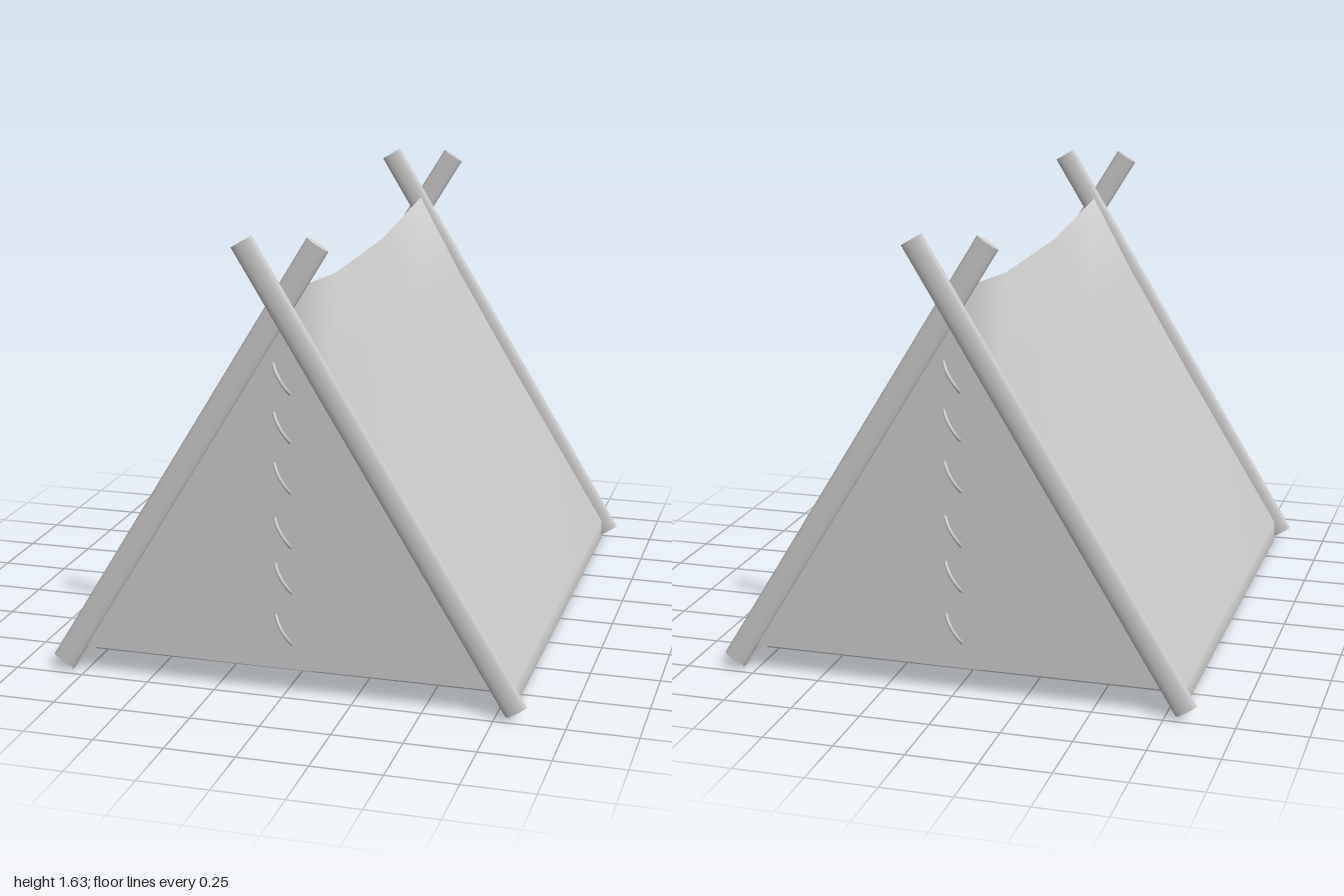
import * as THREE from 'three';

const material = new THREE.MeshStandardMaterial({ color: 0xcccccc, side: THREE.DoubleSide });

function addMesh(parent, geometry, name) {
  const mesh = new THREE.Mesh(geometry, material);
  mesh.name = name;
  parent.add(mesh);
  return mesh;
}

// Cloth draped over the ridge: half profiles lofted along z, sagging at mid length
function coverGeometry() {
  const endHalf = [[0.8, 0], [0.8, 0.08], [0.42, 0.7], [0.17, 1.12], [0, 1.43]];
  const midHalf = [[0.8, 0], [0.8, 0.08], [0.41, 0.69], [0.13, 1.12], [0, 1.37]];
  const sections = [[-0.97, endHalf], [-0.33, midHalf], [0.33, midHalf], [0.97, endHalf]];
  const positions = [];
  const index = [];
  const n = endHalf.length * 2 - 1;
  sections.forEach(([z, half], j) => {
    const profile = [...half, ...half.slice(0, -1).reverse().map(([x, y]) => [-x, y])];
    profile.forEach(([x, y], i) => {
      positions.push(x, y, z);
      if (j < sections.length - 1 && i < n - 1) {
        const a = j * n + i;
        index.push(a, a + 1, a + n, a + 1, a + n + 1, a + n);
      }
    });
  });
  const geometry = new THREE.BufferGeometry();
  geometry.setAttribute('position', new THREE.Float32BufferAttribute(positions, 3));
  geometry.setIndex(index);
  geometry.computeVertexNormals();
  return geometry;
}

// Flattened pole leaning from a bottom corner across the ridge
function addPole(parent, side, z) {
  const foot = new THREE.Vector2(0.828 * side, 0.035);
  const tip = new THREE.Vector2(-0.13 * side, 1.605);
  const along = tip.clone().sub(foot);
  const pole = addMesh(parent, new THREE.CylinderGeometry(0.043, 0.043, along.length(), 16),
    side > 0 ? 'leftPole' : 'rightPole');
  pole.scale.z = 0.34;
  pole.rotation.z = Math.atan2(along.y, along.x) - Math.PI / 2;
  pole.position.set((foot.x + tip.x) / 2, (foot.y + tip.y) / 2, z);
}

// One of two door flaps, overlapping at the middle
function addFlap(parent, side, z) {
  const corners = [[0.78, 0.1], [0, 1.37], [-0.03, 1.3], [-0.1, 0.096]];
  const shape = new THREE.Shape(corners.map(([x, y]) => new THREE.Vector2(x * side, y)));
  addMesh(parent, new THREE.ShapeGeometry(shape), side > 0 ? 'leftFlap' : 'rightFlap').position.z = z;
}

function buildEnd(name) {
  const end = new THREE.Group();
  end.name = name;
  addPole(end, 1, 0.9855);
  addPole(end, -1, 0.9695);
  addFlap(end, 1, 0.968);
  addFlap(end, -1, 0.971);
  // Slanted lacing stitches bulging out of the flaps
  for (const y of [1.14, 0.97, 0.79, 0.595, 0.43, 0.24]) {
    const curve = new THREE.CatmullRomCurve3([
      new THREE.Vector3(-0.03, y + 0.055, 0.964),
      new THREE.Vector3(-0.018, y + 0.034, 0.984),
      new THREE.Vector3(0.002, y, 0.992),
      new THREE.Vector3(0.022, y - 0.034, 0.984),
      new THREE.Vector3(0.03, y - 0.055, 0.964),
    ]);
    addMesh(end, new THREE.TubeGeometry(curve, 12, 0.006, 6), 'lace');
  }
  return end;
}

export function createModel() {
  const tent = new THREE.Group();
  tent.name = 'tent';
  addMesh(tent, coverGeometry(), 'cover');
  const back = buildEnd('backEnd');
  back.rotation.y = Math.PI;
  tent.add(buildEnd('frontEnd'), back);
  return tent;
}
